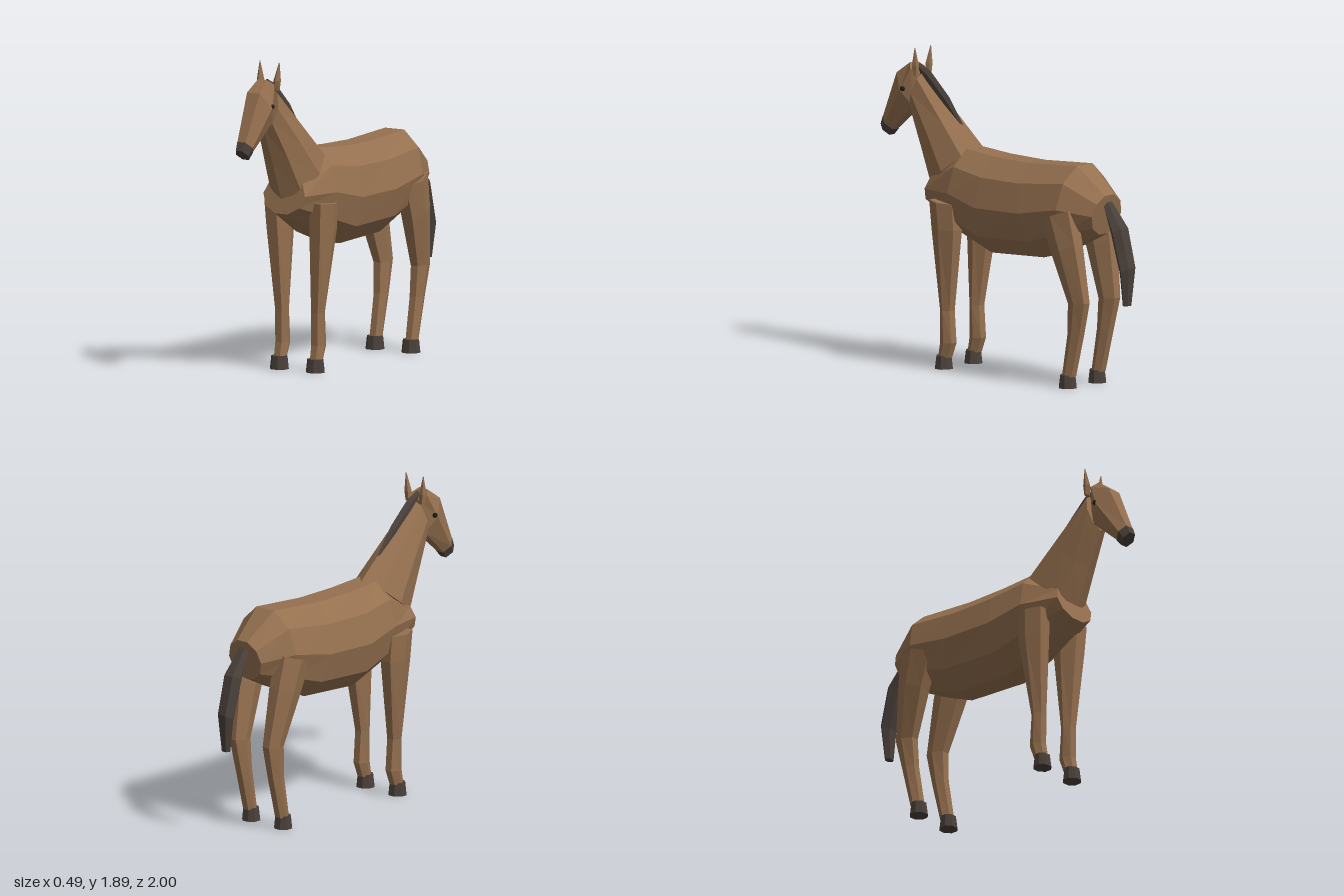
import * as THREE from 'three';

const coat = new THREE.MeshStandardMaterial({ color: 0x95704f });
coat.name = 'brown coat';
const dark = new THREE.MeshStandardMaterial({ color: 0x4a403a });
dark.name = 'dark hair and horn';
const black = new THREE.MeshStandardMaterial({ color: 0x1e1b1a });
black.name = 'eye black';

// Faceted loft with capped ends. Each ring is [y1, z1, y2, z2, rx, cx]:
// two opposite points in the side plane, half width and x centre.
// flat = true puts a flat facet, not a corner, at those two points.
function loft(name, material, sides, flat, rings) {
  const first = rings[0], last = rings[rings.length - 1];
  const mid = (r) => [(r[0] + r[2]) / 2, (r[1] + r[3]) / 2];
  const [ya, za] = mid(first), [yb, zb] = mid(last);
  const travel = (yb - ya) * (first[1] - first[3]) - (zb - za) * (first[0] - first[2]);
  const turn = travel < 0 ? -1 : 1;
  const grow = flat ? 1 / Math.cos(Math.PI / sides) : 1;

  const points = rings.map((r) => {
    const [cy, cz] = mid(r);
    const hy = ((r[0] - r[2]) / 2) * grow, hz = ((r[1] - r[3]) / 2) * grow;
    return Array.from({ length: sides }, (_, j) => {
      const a = ((j + (flat ? 0.5 : 0)) / sides) * Math.PI * 2;
      return [(r[5] || 0) + turn * r[4] * Math.sin(a), cy + hy * Math.cos(a), cz + hz * Math.cos(a)];
    });
  });

  const pos = [];
  const tri = (a, b, c) => pos.push(...a, ...b, ...c);
  for (let i = 0; i < rings.length - 1; i++) {
    for (let j = 0; j < sides; j++) {
      const k = (j + 1) % sides;
      tri(points[i][j], points[i][k], points[i + 1][j]);
      tri(points[i][k], points[i + 1][k], points[i + 1][j]);
    }
  }
  const start = points[0], end = points[points.length - 1];
  for (let j = 1; j < sides - 1; j++) {
    tri(start[0], start[j + 1], start[j]);
    tri(end[0], end[j], end[j + 1]);
  }

  const geometry = new THREE.BufferGeometry();
  geometry.setAttribute('position', new THREE.Float32BufferAttribute(pos, 3));
  geometry.computeVertexNormals();
  const mesh = new THREE.Mesh(geometry, material);
  mesh.name = name;
  return mesh;
}

export function createModel() {
  const horse = new THREE.Group();
  horse.name = 'horse';

  // Barrel of the body, chest to rump
  horse.add(loft('body', coat, 10, true, [
    [1.18, 0.50, 0.96, 0.56, 0.15],
    [1.33, 0.27, 0.82, 0.31, 0.215],
    [1.31, 0.04, 0.73, 0.06, 0.24],
    [1.305, -0.24, 0.75, -0.36, 0.24],
    [1.33, -0.62, 0.83, -0.56, 0.225],
    [1.17, -0.82, 0.93, -0.77, 0.13],
  ]));

  // Neck, head and muzzle
  horse.add(loft('neck', coat, 8, false, [
    [1.33, 0.22, 1.05, 0.56, 0.16],
    [1.50, 0.41, 1.27, 0.65, 0.125],
    [1.74, 0.67, 1.49, 0.745, 0.08],
  ]));
  horse.add(loft('head', coat, 6, true, [
    [1.79, 0.755, 1.73, 0.69, 0.065],
    [1.72, 0.85, 1.53, 0.72, 0.092],
    [1.44, 0.975, 1.37, 0.90, 0.057],
  ]));
  horse.add(loft('muzzle', dark, 6, true, [
    [1.44, 0.977, 1.368, 0.898, 0.058],
    [1.39, 1.0, 1.33, 0.93, 0.045],
  ]));

  // Mane ridge and hanging tail
  horse.add(loft('mane', dark, 6, false, [
    [1.79, 0.71, 1.71, 0.68, 0.02],
    [1.75, 0.62, 1.64, 0.64, 0.024],
    [1.61, 0.47, 1.52, 0.51, 0.02],
    [1.43, 0.34, 1.41, 0.36, 0.008],
  ]));
  horse.add(loft('tail', dark, 6, true, [
    [1.13, -0.82, 1.08, -0.80, 0.04],
    [0.98, -0.94, 0.95, -0.86, 0.065],
    [0.75, -1.0, 0.71, -0.93, 0.06],
    [0.52, -0.98, 0.52, -0.94, 0.032],
  ]));

  for (const s of [1, -1]) {
    const side = s > 0 ? 'left' : 'right';

    // Pointed ears and small eyes
    horse.add(loft(side + 'Ear', coat, 5, false, [
      [1.72, 0.70, 1.72, 0.67, 0.02, s * 0.055],
      [1.78, 0.712, 1.78, 0.665, 0.023, s * 0.06],
      [1.89, 0.683, 1.89, 0.679, 0.002, s * 0.07],
    ]));
    const eye = new THREE.Mesh(new THREE.IcosahedronGeometry(0.017, 1), black);
    eye.name = side + 'Eye';
    eye.position.set(s * 0.079, 1.635, 0.772);
    horse.add(eye);

    // Front leg
    horse.add(loft(side + 'FrontLeg', coat, 6, true, [
      [1.02, 0.445, 1.01, 0.265, 0.08, s * 0.163],
      [0.85, 0.435, 0.85, 0.26, 0.078, s * 0.155],
      [0.355, 0.403, 0.355, 0.327, 0.047, s * 0.13],
      [0.16, 0.403, 0.16, 0.312, 0.045, s * 0.13],
      [0.07, 0.42, 0.07, 0.345, 0.042, s * 0.13],
    ]));
    horse.add(loft(side + 'FrontHoof', dark, 8, true, [
      [0.08, 0.435, 0.08, 0.35, 0.05, s * 0.13],
      [0, 0.445, 0, 0.34, 0.058, s * 0.13],
    ]));

    // Hind leg with hock
    horse.add(loft(side + 'HindLeg', coat, 6, true, [
      [1.01, -0.45, 1.08, -0.67, 0.08, s * 0.165],
      [0.80, -0.53, 0.88, -0.71, 0.075, s * 0.155],
      [0.515, -0.63, 0.525, -0.76, 0.05, s * 0.135],
      [0.33, -0.62, 0.33, -0.715, 0.044, s * 0.13],
      [0.07, -0.575, 0.07, -0.65, 0.042, s * 0.13],
    ]));
    horse.add(loft(side + 'HindHoof', dark, 8, true, [
      [0.08, -0.56, 0.08, -0.645, 0.05, s * 0.13],
      [0, -0.55, 0, -0.655, 0.058, s * 0.13],
    ]));
  }
  return horse;
}
